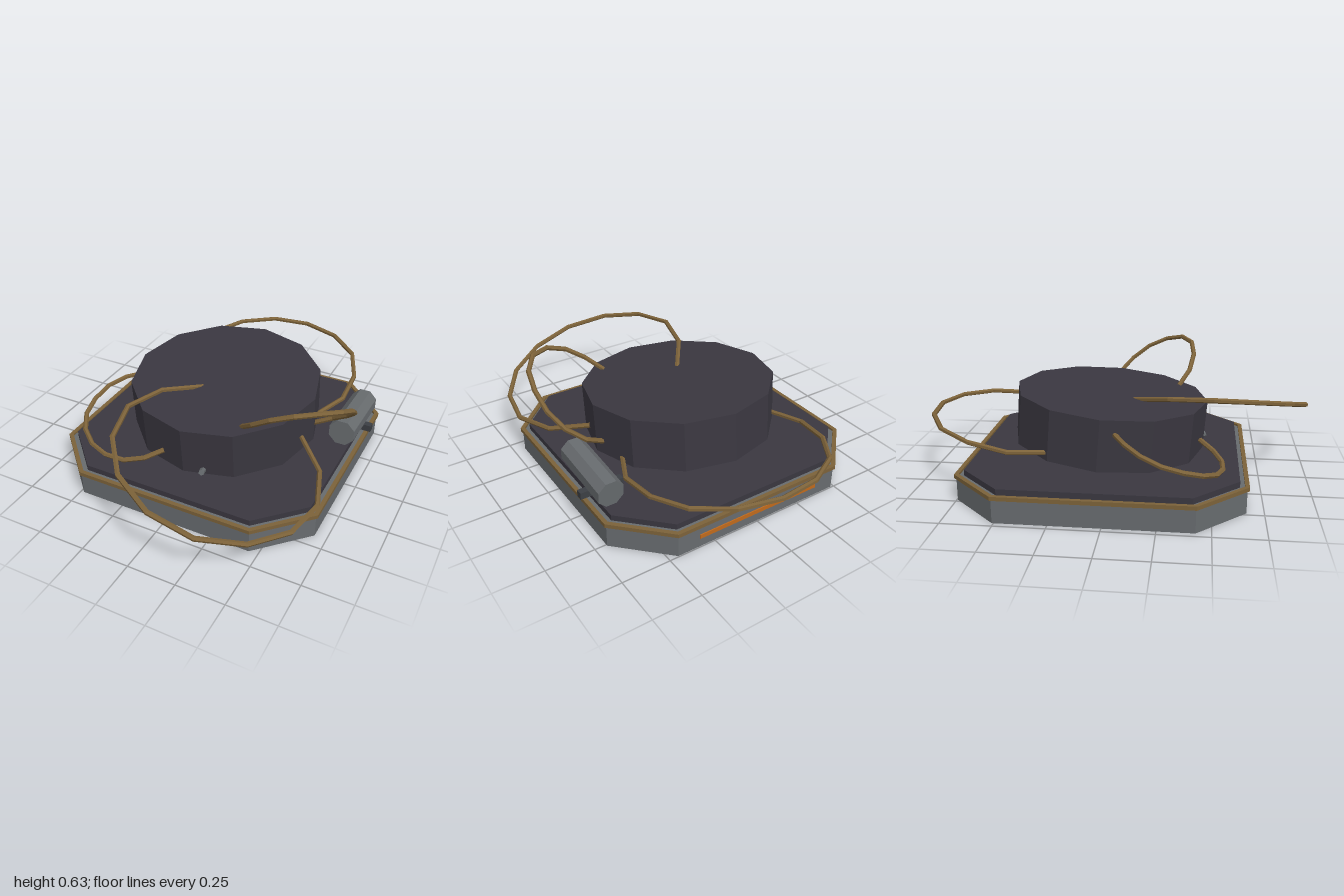
import * as THREE from 'three';

const mat = (name, color) => {
  const m = new THREE.MeshStandardMaterial({ color, flatShading: true });
  m.name = name;
  return m;
};

// Square outline with cut corners: half = half width, edge = half length of a straight side
function octagon(half, edge, Kind = THREE.Shape) {
  const p = [[half, -edge], [half, edge], [edge, half], [-edge, half],
    [-half, edge], [-half, -edge], [-edge, -half], [edge, -half]];
  return new Kind(p.map(([x, y]) => new THREE.Vector2(x, y)));
}

// Flat slab standing on y = 0
function slab(shape, height) {
  return new THREE.ExtrudeGeometry(shape, { depth: height, bevelEnabled: false }).rotateX(-Math.PI / 2);
}

export function createModel() {
  const steel = mat('steel grey', 0x676b6e);
  const dark = mat('dark shell', 0x3a3740);
  const brass = mat('brass', 0x7c6239);
  const orange = mat('orange', 0xc06a1c);
  const iron = mat('dark iron', 0x3c3f44);

  const model = new THREE.Group();
  const add = (name, geometry, material, x = 0, y = 0, z = 0) => {
    const mesh = new THREE.Mesh(geometry, material);
    mesh.name = name;
    mesh.position.set(x, y, z);
    model.add(mesh);
    return mesh;
  };
  const cx = -0.015, cz = -0.04;

  // Base with brass rim and dark deck
  add('base', slab(octagon(0.705, 0.468), 0.125), steel, cx, 0, cz);
  const rim = octagon(0.715, 0.472);
  rim.holes.push(octagon(0.694, 0.463, THREE.Path));
  add('baseRim', slab(rim, 0.02), brass, cx, 0.116, cz);
  add('deck', slab(octagon(0.67, 0.453), 0.035), dark, cx, 0.12, cz);
  add('rearStrip', new THREE.BoxGeometry(0.7, 0.022, 0.009), orange, cx, 0.06, cz - 0.706);

  // Tilted drum, its pivot and small fittings
  const drum = add('drum', new THREE.CylinderGeometry(0.5, 0.5, 0.26, 12), dark, cx, 0.32, cz);
  drum.rotation.x = 0.078;
  add('pivot', new THREE.CylinderGeometry(0.1, 0.1, 0.05, 10), dark, cx, 0.175, cz);
  add('pivotLight', new THREE.BoxGeometry(0.05, 0.018, 0.05), orange, 0.1, 0.164, -0.205);
  const stud = add('stud', new THREE.CylinderGeometry(0.015, 0.015, 0.06, 6), steel, 0.09, 0.185, 0.437);
  stud.rotation.set(1.25, 0, -0.25);

  // Canister on a bracket beside the drum
  const canister = add('canister', new THREE.CylinderGeometry(0.071, 0.071, 0.38, 8)
    .rotateY(Math.PI / 8), steel, 0.625, 0.248, -0.26);
  canister.rotation.x = Math.PI / 2 - 0.066;
  add('bracket', new THREE.BoxGeometry(0.23, 0.036, 0.035), iron, 0.605, 0.175, -0.305);

  // Looping cables, each given by the joints of its path
  const cables = {
    rightCable: [[-0.48, 0.375, 0.03], [-0.57, 0.355, 0.09], [-0.64, 0.32, 0.18], [-0.66, 0.28, 0.29],
      [-0.63, 0.245, 0.41], [-0.55, 0.21, 0.495], [-0.45, 0.192, 0.54], [-0.33, 0.187, 0.55],
      [-0.23, 0.2, 0.52], [-0.13, 0.237, 0.435]],
    frontCable: [[-0.09, 0.43, 0.09], [-0.26, 0.487, 0.35], [-0.27, 0.488, 0.6], [-0.15, 0.448, 0.83],
      [0.05, 0.39, 0.97], [0.31, 0.31, 0.985], [0.53, 0.248, 0.86], [0.67, 0.205, 0.63],
      [0.685, 0.202, 0.37], [0.57, 0.235, 0.15], [0.46, 0.27, 0.065]],
    leftCable: [[0.24, 0.42, 0.31], [0.32, 0.49, 0.365], [0.44, 0.57, 0.385], [0.58, 0.615, 0.35],
      [0.685, 0.6, 0.25], [0.72, 0.53, 0.1], [0.69, 0.43, -0.02], [0.61, 0.345, -0.09],
      [0.53, 0.295, -0.105], [0.46, 0.26, -0.09]],
    backCable: [[-0.42, 0.245, -0.29], [-0.48, 0.257, -0.46], [-0.44, 0.288, -0.69], [-0.29, 0.315, -0.89],
      [-0.05, 0.329, -0.985], [0.22, 0.324, -0.955], [0.43, 0.303, -0.8], [0.52, 0.27, -0.56],
      [0.505, 0.241, -0.34], [0.43, 0.225, -0.21]],
  };
  for (const [name, points] of Object.entries(cables)) {
    const path = new THREE.CatmullRomCurve3(points.map((p) => new THREE.Vector3(...p)));
    add(name, new THREE.TubeGeometry(path, points.length, 0.013, 6), brass);
  }
  return model;
}
